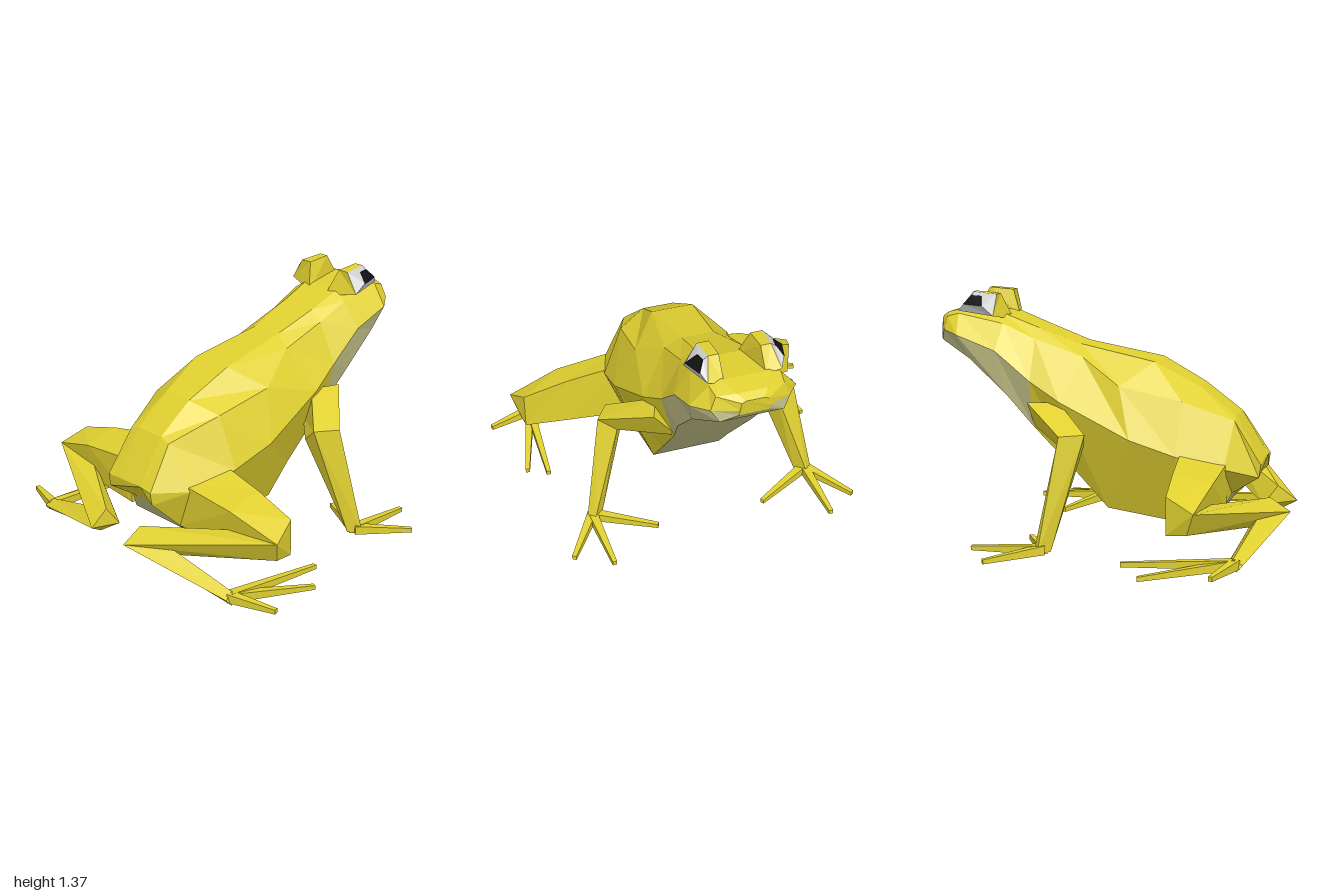
import * as THREE from 'three';

const mat = (color) => new THREE.MeshStandardMaterial({ color, flatShading: true });
const skin = mat(0xe0d030), pale = mat(0xc4c288), eyeGrey = mat(0xbdbdbd), black = mat(0x111111);

// Skin a series of equal-sized rings, closed at both ends; keep(i, j) picks the panels to emit.
function loft(name, rings, material, keep = () => true) {
  const tris = [], n = rings[0].length, last = rings.length - 1;
  const add = (i, j, a, b, c) => tris.push({ i, j, p: [a, b, c] });
  for (let i = 0; i < last; i++) {
    for (let j = 0; j < n; j++) {
      const k = (j + 1) % n;
      add(i, j, rings[i][j], rings[i + 1][j], rings[i + 1][k]);
      add(i, j, rings[i][j], rings[i + 1][k], rings[i][k]);
    }
  }
  for (let j = 1; j < n - 1; j++) {
    add(-1, -1, rings[0][0], rings[0][j], rings[0][j + 1]);
    add(last, -1, rings[last][0], rings[last][j + 1], rings[last][j]);
  }
  // signed volume tells whether the faces point outward
  let volume = 0;
  for (const { p: [a, b, c] } of tris) volume += a.dot(b.clone().cross(c));
  const points = [];
  for (const { i, j, p: [a, b, c] } of tris) {
    if (keep(i, j)) points.push(...(volume > 0 ? [a, b, c] : [a, c, b]));
  }
  const geometry = new THREE.BufferGeometry().setFromPoints(points);
  geometry.computeVertexNormals();
  const mesh = new THREE.Mesh(geometry, material);
  mesh.name = name;
  return mesh;
}

// Corner list to points, mirrored in z when s is -1
const ring = (corners, s) => corners.map(([x, y, z]) => new THREE.Vector3(x, y, s * z));

// Thin tapering toe from a to b
function toe(name, a, b, s) {
  const dx = b[0] - a[0], dz = b[2] - a[2], len = Math.hypot(dx, dz);
  const station = ([x, y, z], r) => {
    const u = -dz / len * r, w = dx / len * r;
    return ring([[x + u, y + r, z + w], [x - u, y + r, z - w], [x - u, y - r, z - w], [x + u, y - r, z + w]], s);
  };
  return loft(name, [station(a, 0.025), station(b, 0.012)], skin);
}

// Half cross-sections from tail to snout: ridge, upper flank, widest side, belly edge
const sections = [
  [[-.84, .49, .09], [-.84, .48, .17], [-.83, .41, .17], [-.68, .31, .14]],
  [[-.69, .73, .09], [-.69, .71, .15], [-.66, .47, .29], [-.63, .21, .2]],
  [[-.49, .88, .09], [-.42, .82, .25], [-.41, .54, .36], [-.4, .145, .2]],
  [[-.24, 1.01, .12], [-.08, .89, .27], [-.16, .62, .375], [0, .2, .2]],
  [[.18, 1.09, .09], [.15, 1.03, .18], [.24, .8, .33], [.15, .36, .2]],
  [[.42, 1.175, .11], [.42, 1.12, .18], [.42, .9, .29], [.42, .64, .22]],
  [[.62, 1.25, .12], [.6, 1.2, .19], [.62, 1.06, .285], [.57, .82, .25]],
  [[.86, 1.27, .13], [.86, 1.25, .19], [.84, 1.14, .285], [.78, 1.01, .25]],
  [[.96, 1.245, .08], [.93, 1.23, .18], [.94, 1.16, .21], [.965, 1.1, .17]],
  [[1, 1.22, .05], [1, 1.21, .07], [1, 1.17, .08], [.995, 1.14, .08]],
];

// Leg cross-sections of the left side; neighbouring bones share their joint corners
const heel = [[-1, .225, .13], [-.89, .3, .14], [-.81, .19, .13], [-.9, .16, .18]];
const bones = {
  HindLeg: {
    thigh: [
      [[-.67, .5, .2], [-.42, .57, .2], [-.42, .22, .2], [-.66, .24, .2]],
      [[-.66, .46, .58], [-.45, .505, .58], [-.445, .235, .58], [-.63, .25, .58]],
      [[-.62, .37, .88], [-.47, .44, .83], [-.47, .24, .83], [-.58, .25, .84]],
    ],
    shank: [
      [[-.62, .37, .88], [-.54, .36, .72], [-.51, .25, .7], [-.58, .25, .84]],
      heel,
    ],
    foot: [
      heel,
      [[-.85, .09, .75], [-.8, .12, .74], [-.77, .09, .74], [-.82, .055, .76]],
    ],
  },
  FrontLeg: {
    upperArm: [
      [[.26, .79, .27], [.42, .79, .33], [.42, .64, .2], [.27, .6, .2]],
      [[.05, .66, .49], [.17, .66, .57], [.2, .59, .47], [.08, .58, .4]],
    ],
    forearm: [
      [[.05, .66, .49], [.17, .66, .57], [.2, .59, .47], [.08, .58, .4]],
      [[.2, .05, .62], [.26, .04, .68], [.285, .06, .64], [.23, .07, .58]],
    ],
  },
};
const toes = {
  HindLeg: { root: [-.81, .09, .73], tips: [[-.73, .08, .985], [-.33, .015, .87], [-.22, .055, .77]] },
  FrontLeg: { root: [.235, .065, .64], tips: [[.51, .03, .825], [.64, .045, .635], [.41, .035, .31]] },
};

export function createModel() {
  const model = new THREE.Group();
  model.name = 'frog';

  // Body, split into back and pale belly and throat
  const rings = sections.map((half) => [...ring(half, 1), ...ring(half, -1).reverse()]);
  const isPale = (i, j) => j === 3 || (i >= 5 && (j === 2 || j === 4));
  model.add(loft('back', rings, skin, (i, j) => !isPale(i, j)));
  model.add(loft('bellyAndThroat', rings, pale, isPale));

  // The head points along +x, so the two halves mirror in z
  for (const s of [1, -1]) {
    const side = s > 0 ? 'near' : 'far';

    // Eye: brow bump, grey surround and dark pupil
    const eye = new THREE.Group();
    eye.name = side + 'Eye';
    const inner = ring([[.58, 1.21, .06], [.86, 1.25, .11], [.78, 1.37, .11], [.64, 1.36, .11]], s);
    const outer = ring([[.64, 1.245, .245], [.86, 1.265, .195], [.78, 1.37, .165], [.64, 1.36, .175]], s);
    const rim = ring([[.7, 1.3, .255], [.82, 1.305, .22], [.78, 1.352, .19], [.72, 1.35, .2]], s);
    const pupil = rim.map((p) => p.clone().add(new THREE.Vector3(0.001, 0, s * 0.004)));
    eye.add(loft('brow', [inner, outer], skin));
    eye.add(loft('eyeSurround', [outer, rim], eyeGrey));
    eye.add(loft('pupil', [rim, pupil], black));
    model.add(eye);

    // Legs with three toes each
    for (const [legName, parts] of Object.entries(bones)) {
      const leg = new THREE.Group();
      leg.name = side + legName;
      for (const [name, stations] of Object.entries(parts)) {
        leg.add(loft(name, stations.map((corners) => ring(corners, s)), skin));
      }
      const { root, tips } = toes[legName];
      tips.forEach((tip, i) => leg.add(toe('toe' + (i + 1), root, tip, s)));
      model.add(leg);
    }
  }
  return model;
}
